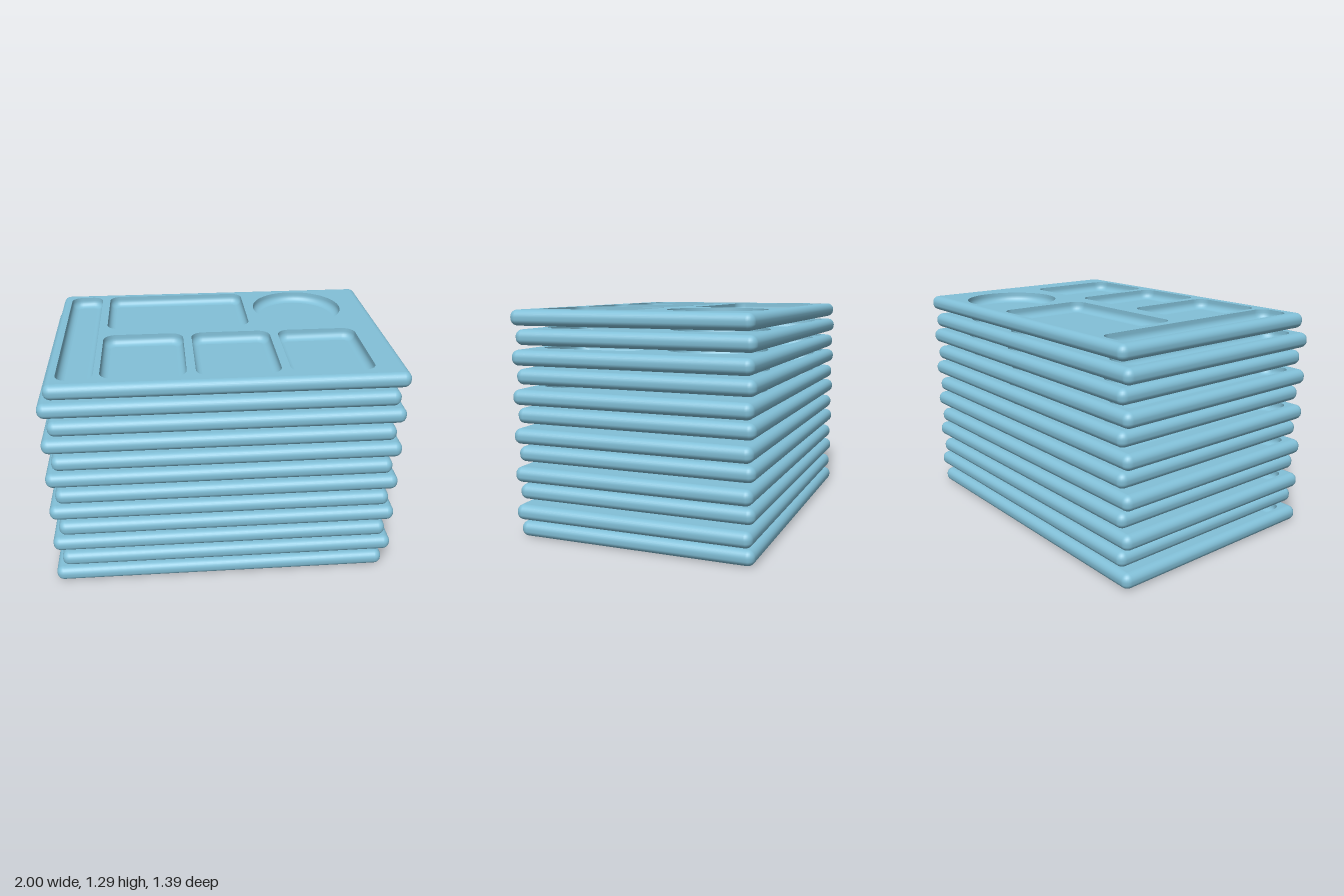
import * as THREE from 'three';
import { mergeGeometries } from 'three/addons/utils/BufferGeometryUtils.js';

const WIDTH = 1.957, DEPTH = 1.386, HEIGHT = 0.087, EDGE = 0.04;
const COUNT = 12, PITCH = 0.109, SHIFT = 0.0215;
const POCKET_DEPTH = 0.06, FILLET = 0.04;

// Loop of [x, z] points round a rounded rectangle; a circle when r is half of both sides
function roundedLoop(cx, cz, w, d, r, steps = 8) {
  const points = [];
  const round = w - 2 * r < 1e-4 && d - 2 * r < 1e-4;
  const corners = [[1, 1], [-1, 1], [-1, -1], [1, -1]];
  corners.forEach(([sx, sz], q) => {
    for (let i = 0; i < (round ? steps : steps + 1); i++) {
      const a = (q + i / steps) * Math.PI / 2;
      points.push([
        cx + sx * (w / 2 - r) + r * Math.cos(a),
        cz + sz * (d / 2 - r) + r * Math.sin(a),
      ]);
    }
  });
  return points;
}

// Skin joining loops of equal length, each { y, loop }
function loft(rings) {
  const n = rings[0].loop.length;
  const position = [], index = [];
  rings.forEach(({ y, loop }) => loop.forEach(([x, z]) => position.push(x, y, z)));
  for (let j = 0; j < rings.length - 1; j++) {
    for (let k = 0; k < n; k++) {
      const a = j * n + k, b = j * n + (k + 1) % n;
      index.push(a, a + n, b, b, a + n, b + n);
    }
  }
  const geometry = new THREE.BufferGeometry();
  geometry.setAttribute('position', new THREE.Float32BufferAttribute(position, 3));
  geometry.setIndex(index);
  geometry.computeVertexNormals();
  return geometry;
}

// Flat face at height y, with optional holes, facing up or down
function cap(loop, y, up = true, holes = []) {
  const s = up ? -1 : 1;
  const toPoints = (l) => l.map(([x, z]) => new THREE.Vector2(x, s * z));
  const shape = new THREE.Shape(toPoints(loop));
  shape.holes = holes.map((h) => new THREE.Path(toPoints(h)));
  const geometry = new THREE.ShapeGeometry(shape);
  geometry.rotateX(s * Math.PI / 2);
  geometry.translate(0, y, 0);
  geometry.deleteAttribute('uv');
  return geometry;
}

// Compartments on the tray: x0, x1, z0, z1, corner radius
const POCKETS = {
  cutleryPocket: [-0.92, -0.72, -0.628, 0.617, 0.065],
  mainPocket: [-0.672, 0.19, -0.628, -0.07, 0.065],
  cupPocket: [0.246, 0.802, -0.628, -0.072, 0.278],
  leftSidePocket: [-0.687, -0.222, 0.024, 0.61, 0.07],
  middleSidePocket: [-0.173, 0.291, 0.024, 0.61, 0.07],
  rightSidePocket: [0.339, 0.803, 0.024, 0.61, 0.07],
};

function pocketLoop([x0, x1, z0, z1, r], inset = 0) {
  const steps = r > 0.2 ? 14 : 7;
  return roundedLoop((x0 + x1) / 2, (z0 + z1) / 2,
    x1 - x0 - 2 * inset, z1 - z0 - 2 * inset, r - inset, steps);
}

// Recess with straight walls, a filleted foot and a flat floor
function pocketGeometry(pocket) {
  const floor = HEIGHT - POCKET_DEPTH;
  const rings = [{ y: HEIGHT, loop: pocketLoop(pocket) }];
  for (let i = 0; i <= 6; i++) {
    const a = i / 6 * Math.PI / 2;
    rings.push({
      y: floor + FILLET * (1 - Math.sin(a)),
      loop: pocketLoop(pocket, FILLET * (1 - Math.cos(a))),
    });
  }
  return mergeGeometries([loft(rings), cap(rings[rings.length - 1].loop, floor)]);
}

// Rounded slab whose top face is cut out for the compartments
function bodyGeometry() {
  const outline = (inset) =>
    roundedLoop(0, 0, WIDTH - 2 * inset, DEPTH - 2 * inset, EDGE + 0.003 - inset, 6);
  const rings = [];
  for (let i = 0; i <= 14; i++) {
    const lower = i < 7;
    const a = ((lower ? i : i - 8) / 7 + (lower ? -7 / 7 : 1 / 7)) * Math.PI / 2;
    const centre = lower ? EDGE : HEIGHT - EDGE;
    rings.push({
      y: centre + EDGE * Math.sin(a),
      loop: outline(EDGE * (1 - Math.cos(a))),
    });
  }
  const holes = Object.values(POCKETS).map((p) => pocketLoop(p));
  return mergeGeometries([
    loft(rings),
    cap(outline(EDGE), 0, false),
    cap(outline(EDGE), HEIGHT, true, holes),
  ]);
}

export function createModel() {
  const model = new THREE.Group();
  model.name = 'trayStack';
  const plastic = new THREE.MeshStandardMaterial({ color: 0x82c0d8 });
  plastic.name = 'blue plastic';

  const parts = { trayBody: bodyGeometry() };
  for (const [name, pocket] of Object.entries(POCKETS)) parts[name] = pocketGeometry(pocket);

  // Trays alternate a little to either side up the stack
  for (let i = 0; i < COUNT; i++) {
    const tray = new THREE.Group();
    tray.name = `tray${i + 1}`;
    for (const [name, geometry] of Object.entries(parts)) {
      const mesh = new THREE.Mesh(geometry, plastic);
      mesh.name = name;
      tray.add(mesh);
    }
    tray.position.set(i % 2 ? SHIFT : -SHIFT, i * PITCH, 0);
    model.add(tray);
  }
  return model;
}
